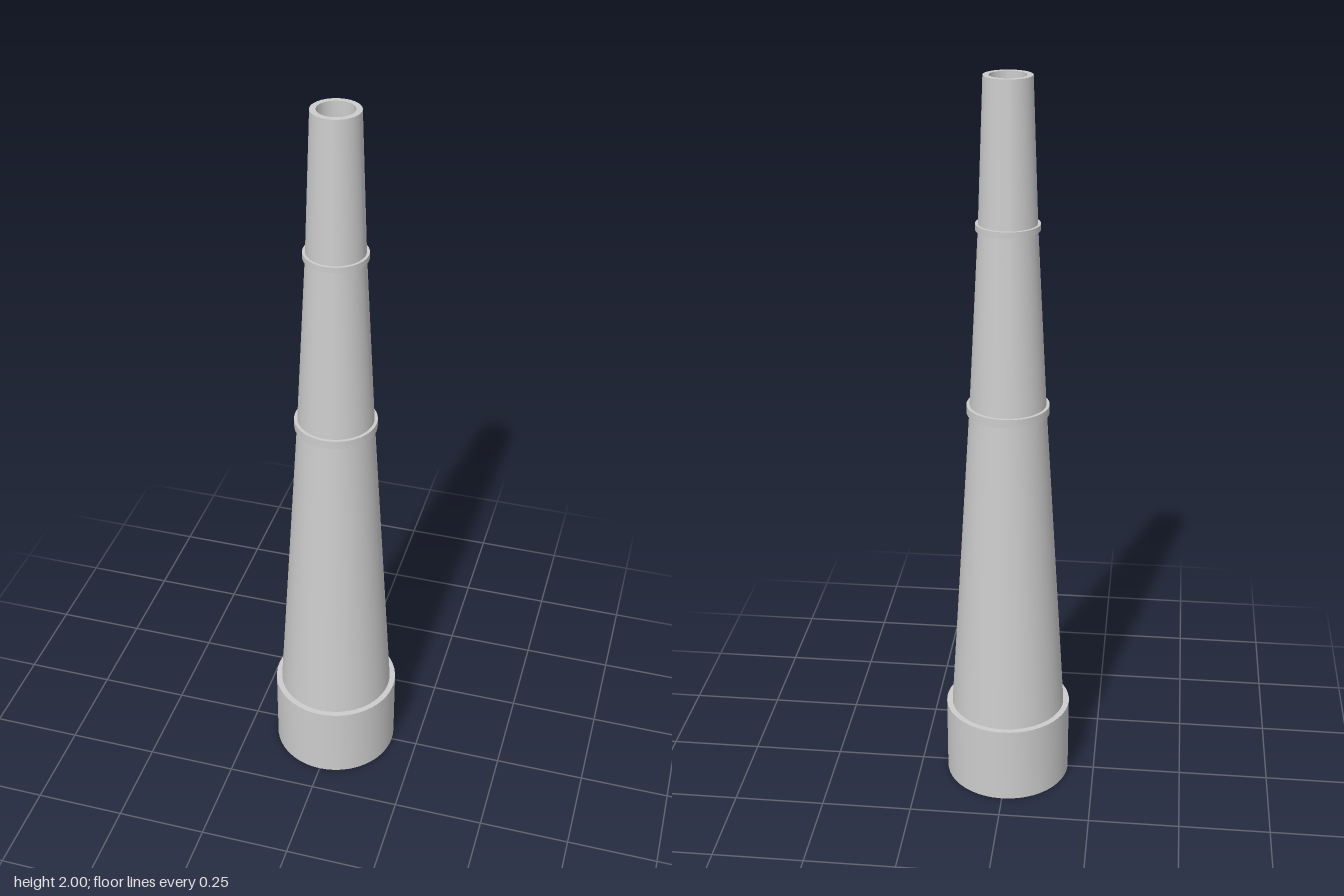
import * as THREE from 'three';
import { toCreasedNormals } from 'three/addons/utils/BufferGeometryUtils.js';

const SIDES = 48;

export function createModel() {
  const model = new THREE.Group();
  const material = new THREE.MeshStandardMaterial({ color: 0xcccccc });

  // Turned part from [radius, height] pairs, listed bottom to top on the outside
  function turned(name, profile) {
    const points = profile.map(([r, y]) => new THREE.Vector2(r, y));
    const geometry = toCreasedNormals(new THREE.LatheGeometry(points, SIDES), Math.PI / 6);
    const mesh = new THREE.Mesh(geometry, material);
    mesh.name = name;
    model.add(mesh);
  }

  // Wide end cap that the tube stands on
  turned('baseCap', [[0, 0], [0.175, 0], [0.175, 0.223], [0.158, 0.223]]);

  // Tapered tube sections
  turned('lowerTube', [[0.159, 0.223], [0.102, 1.13]]);
  turned('middleTube', [[0.102, 1.13], [0.076, 1.622]]);

  // Upper tube with a rim and a recessed bore
  turned('upperTube', [[0.076, 1.622], [0.062, 2], [0.047, 2], [0.047, 1.9], [0, 1.9]]);

  // Thin flat bands around the joints
  const bands = [
    ['lowerBand', 0.11, 0.098, 1.117, 1.14],
    ['upperBand', 0.083, 0.072, 1.615, 1.631],
  ];
  for (const [name, outer, inner, bottom, top] of bands) {
    turned(name, [[inner, bottom], [outer, bottom], [outer, top], [inner, top]]);
  }

  return model;
}
